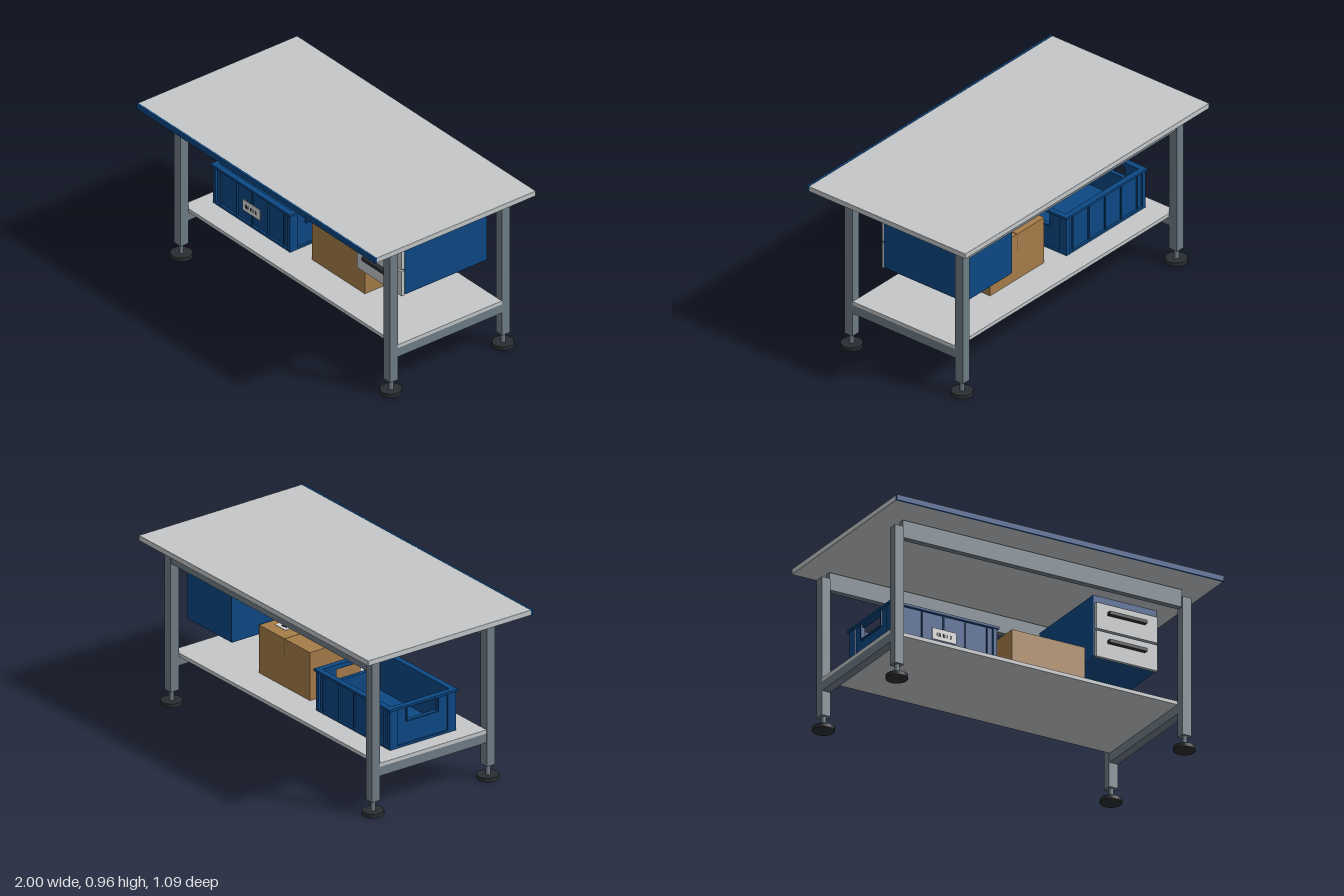
import * as THREE from 'three';
import { RoundedBoxGeometry } from 'three/addons/geometries/RoundedBoxGeometry.js';

const mat = (name, color) => {
  const m = new THREE.MeshStandardMaterial({ color });
  m.name = name;
  return m;
};

export function createModel() {
  const steel = mat('steel grey', 0x6f7d86);
  const pale = mat('light grey', 0xc4c7c9);
  const blue = mat('blue', 0x0c4884);
  const black = mat('black', 0x2a2d31);
  const card = mat('cardboard', 0xa67c49);
  const seamBrown = mat('dark cardboard', 0x6e4f2c);
  const paper = mat('paper', 0xdcdddd);

  const model = new THREE.Group();
  model.name = 'workbench';

  const group = (name) => {
    const g = new THREE.Group();
    g.name = name;
    model.add(g);
    return g;
  };
  const add = (parent, name, geometry, material) => {
    const m = new THREE.Mesh(geometry, material);
    m.name = name;
    parent.add(m);
    return m;
  };
  // Box given by its limits on each axis; r rounds its edges
  const box = (parent, name, material, [x0, x1], [y0, y1], [z0, z1], r = 0) => {
    const size = [x1 - x0, y1 - y0, z1 - z0];
    const geo = r ? new RoundedBoxGeometry(...size, 2, r) : new THREE.BoxGeometry(...size);
    const m = add(parent, name, geo, material);
    m.position.set((x0 + x1) / 2, (y0 + y1) / 2, (z0 + z1) / 2);
    return m;
  };

  // Table top with a blue front edge
  const top = group('tableTop');
  box(top, 'topBoard', pale, [-1, 1], [0.929, 0.96], [-0.543, 0.531], 0.003);
  box(top, 'frontEdge', blue, [-1, 1], [0.929, 0.96], [0.531, 0.543]);

  // Legs with levelling feet
  const frame = group('frame');
  for (const x of [-0.878, 0.878]) {
    for (const z of [0.338, -0.419]) {
      box(frame, 'leg', steel, [x - 0.027, x + 0.027], [0.08, 0.88], [z - 0.027, z + 0.027]);
      const stem = add(frame, 'footStem', new THREE.CylinderGeometry(0.013, 0.013, 0.062, 16), steel);
      stem.position.set(x, 0.051, z);
      const foot = add(frame, 'footPad', new THREE.CylinderGeometry(0.059, 0.06, 0.022, 24), black);
      foot.position.set(x, 0.011, z);
    }
    // Side rail carrying the shelf
    box(frame, 'shelfRail', steel, [x - 0.025, x + 0.025], [0.219, 0.272], [-0.392, 0.311]);
  }
  // Long beams under the top
  for (const z of [0.338, -0.421]) {
    box(frame, 'topBeam', steel, [-0.852, 0.852], [0.82, 0.92], [z - 0.018, z + 0.018]);
  }
  box(frame, 'shelf', pale, [-0.903, 0.903], [0.272, 0.293], [-0.391, 0.31]);

  // Drawer cabinet
  const cabinet = group('drawerCabinet');
  box(cabinet, 'cabinetBody', blue, [0.413, 0.803], [0.504, 0.859], [-0.374, 0.181], 0.005);
  for (const y of [0.497, 0.659]) {
    box(cabinet, 'drawerFront', pale, [0.422, 0.797], [y, y + 0.152], [0.181, 0.2], 0.002);
    box(cabinet, 'drawerHandle', black, [0.491, 0.718], [y + 0.087, y + 0.106], [0.2, 0.226]);
  }

  // Cardboard box with a seam and a label on top
  const carton = group('cardboardBox');
  box(carton, 'boxBody', card, [-0.048, 0.396], [0.293, 0.57], [-0.207, 0.125]);
  box(carton, 'topSeam', seamBrown, [0.172, 0.176], [0.57, 0.571], [-0.207, 0.125]);
  box(carton, 'backSeam', seamBrown, [0.172, 0.176], [0.47, 0.571], [-0.208, -0.207]);
  box(carton, 'boxLabel', paper, [0.255, 0.345], [0.57, 0.572], [-0.14, -0.02]);
  [0.012, 0.006, 0.01, 0.005, 0.012].forEach((w, i) => {
    const z = -0.122 + i * 0.02;
    box(carton, 'labelBar', black, [0.275, 0.315], [0.572, 0.573], [z, z + w]);
  });

  // Open storage bin
  const bin = group('storageBin');
  bin.position.set(-0.492, 0, -0.042);
  const hx = 0.312, hz = 0.205, wall = 0.014, y0 = 0.297, y1 = 0.53;
  box(bin, 'binFoot', blue, [-0.295, 0.295], [0.293, 0.299], [-0.21, 0.21]);
  box(bin, 'binFloor', blue, [-0.323, 0.323], [y0, y0 + 0.012], [-0.217, 0.217]);

  // End wall with a hand hole, drawn with z across and y up
  const end = new THREE.Shape();
  end.moveTo(-hz, y0).lineTo(hz, y0).lineTo(hz, y1).lineTo(-hz, y1).closePath();
  const hole = new THREE.Path();
  hole.moveTo(-0.1, 0.44).lineTo(-0.1, 0.508).lineTo(0.1, 0.508).lineTo(0.1, 0.44).closePath();
  end.holes.push(hole);
  const endGeo = new THREE.ExtrudeGeometry(end, { depth: wall, bevelEnabled: false });
  endGeo.rotateY(Math.PI / 2);

  for (const s of [-1, 1]) {
    const span = (a, b) => (s > 0 ? [a, b] : [-b, -a]);
    add(bin, 'binEnd', endGeo, blue).position.x = s > 0 ? hx - wall : -hx;
    box(bin, 'binSide', blue, [-hx, hx], [y0, y1], span(hz - wall, hz));
    // Rim
    box(bin, 'rimSide', blue, [-0.333, 0.333], [0.522, 0.535], span(hz - wall, 0.225));
    box(bin, 'rimEnd', blue, span(hx - wall, 0.333), [0.522, 0.535], [-0.2, 0.2]);
    // Ribs along the long walls
    for (const x of [-0.265, -0.132, 0, 0.132, 0.265]) {
      box(bin, 'sideRib', blue, [x - 0.003, x + 0.003], [y0, 0.522], span(hz, 0.214));
    }
    // Corner posts and hand hole frame
    for (const t of [-1, 1]) {
      const zs = t > 0 ? [0.165, 0.217] : [-0.217, -0.165];
      box(bin, 'cornerPost', blue, span(0.3, 0.323), [y0, 0.522], zs);
      const zr = t > 0 ? [0.1, 0.107] : [-0.107, -0.1];
      box(bin, 'handleFrameSide', blue, span(hx, 0.322), [0.433, 0.522], zr);
    }
    box(bin, 'handleFrameBottom', blue, span(hx, 0.322), [0.433, 0.44], [-0.1, 0.1]);
  }

  // Label on the bin front
  box(bin, 'binLabel', paper, [-0.073, 0.072], [0.373, 0.437], [0.214, 0.219]);
  [0.02, 0.012, 0.018, 0.01, 0.016].forEach((w, i) => {
    const x = -0.05 + i * 0.021;
    box(bin, 'labelBar', black, [x, x + w * 0.7], [0.394, 0.414], [0.219, 0.22]);
  });

  return model;
}
